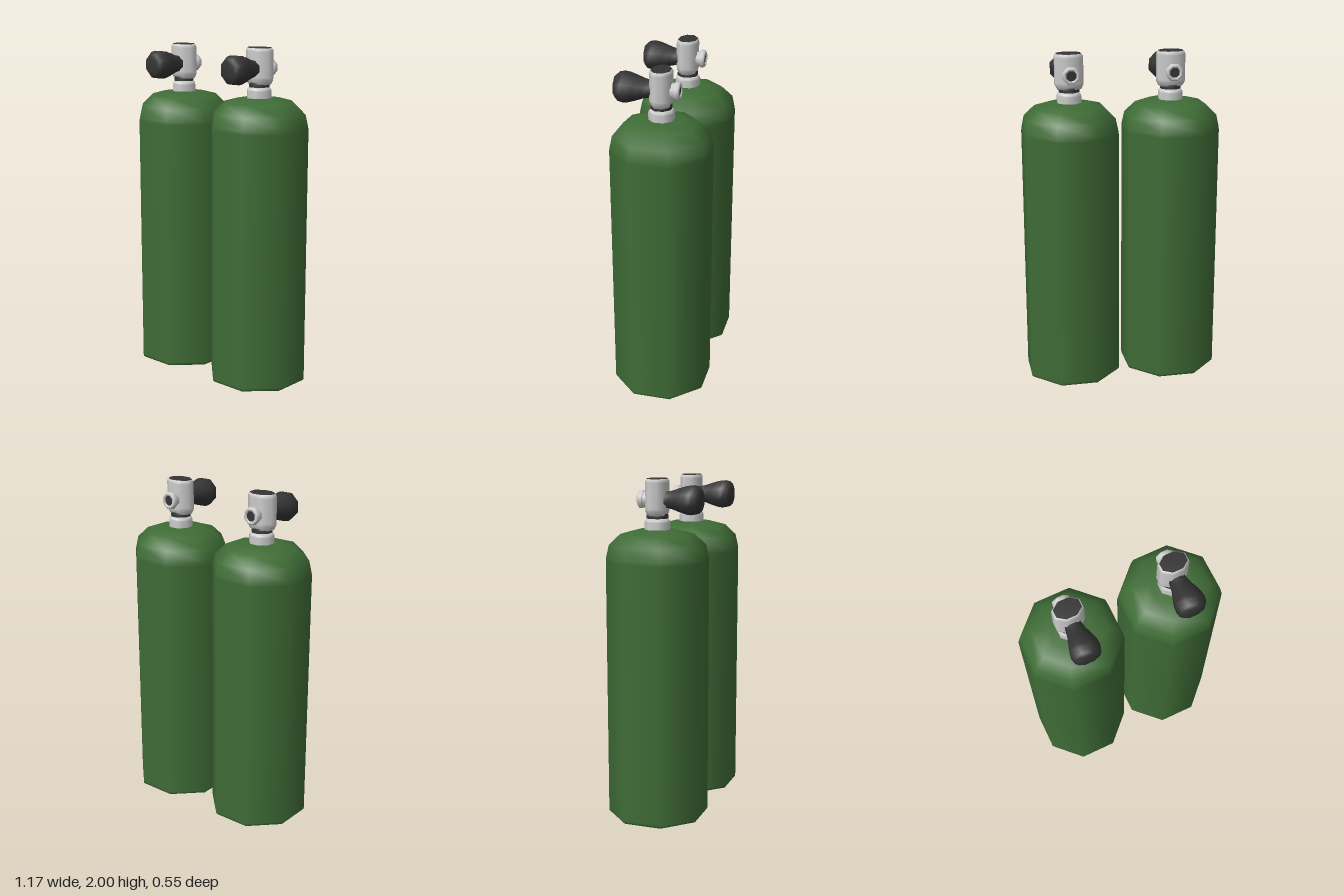
import * as THREE from 'three';

const green = new THREE.MeshStandardMaterial({ color: 0x3f6c36 });
const grey = new THREE.MeshStandardMaterial({ color: 0xcccccc });
const dark = new THREE.MeshStandardMaterial({ color: 0x343434 });

// Eight-sided turned part; profile is [apothem, height] pairs, flats face the axes
function turned(name, profile, material) {
  const k = 1 / Math.cos(Math.PI / 8);
  const points = profile.map(([r, y]) => new THREE.Vector2(r * k, y));
  const mesh = new THREE.Mesh(new THREE.LatheGeometry(points, 8, Math.PI / 8), material);
  mesh.name = name;
  return mesh;
}

function createTank() {
  const tank = new THREE.Group();
  tank.name = 'tank';

  // Cylinder with rounded shoulder
  tank.add(turned('cylinder', [
    [0, 0], [0.26, 0], [0.268, 0.001], [0.275, 0.008], [0.276, 0.02], [0.276, 1.53],
    [0.274, 1.55], [0.259, 1.622], [0.197, 1.685], [0.116, 1.708], [0, 1.71],
  ], green));

  // Neck collar and dark seal
  tank.add(turned('neckCollar', [
    [0.069, 1.69], [0.069, 1.75], [0.067, 1.76], [0.058, 1.772], [0, 1.773],
  ], grey));
  tank.add(turned('neckSeal', [[0.057, 1.765], [0.058, 1.77], [0.058, 1.79], [0.055, 1.8]], dark));

  // Valve body, wider across than deep, with dark cap
  const body = turned('valveBody', [
    [0, 1.786], [0.06, 1.786], [0.07, 1.79], [0.082, 1.815], [0.083, 1.83],
    [0.083, 1.975], [0.081, 1.987], [0.074, 1.996], [0.068, 1.997], [0, 1.997],
  ], grey);
  const cap = turned('valveCap', [[0.073, 1.99], [0.073, 1.997], [0.07, 2], [0, 2]], dark);
  for (const part of [body, cap]) {
    part.scale.z = 0.74;
    tank.add(part);
  }

  // Bulbous handle pointing forward
  const handle = turned('valveHandle', [
    [0.045, 0.03], [0.046, 0.065], [0.053, 0.1], [0.068, 0.145], [0.079, 0.185],
    [0.082, 0.215], [0.076, 0.245], [0.06, 0.263], [0.035, 0.27], [0, 0.271],
  ], dark);
  handle.rotation.x = Math.PI / 2;

  // Outlet at the back with a recessed dark opening
  const outlet = turned('outlet', [
    [0.04, 0.04], [0.04, 0.074], [0.046, 0.077], [0.049, 0.083], [0.049, 0.1],
    [0.045, 0.108], [0.04, 0.111], [0.03, 0.111], [0.028, 0.1],
  ], grey);
  const opening = turned('outletOpening', [[0.031, 0.104], [0, 0.104]], dark);
  outlet.rotation.x = opening.rotation.x = -Math.PI / 2;

  for (const part of [handle, outlet, opening]) {
    part.position.y = 1.88;
    tank.add(part);
  }
  return tank;
}

export function createModel() {
  const model = new THREE.Group();
  model.name = 'twinTanks';
  for (const side of [-1, 1]) {
    const tank = createTank();
    tank.name = side > 0 ? 'leftTank' : 'rightTank';
    tank.position.x = side * 0.307;
    model.add(tank);
  }
  return model;
}
